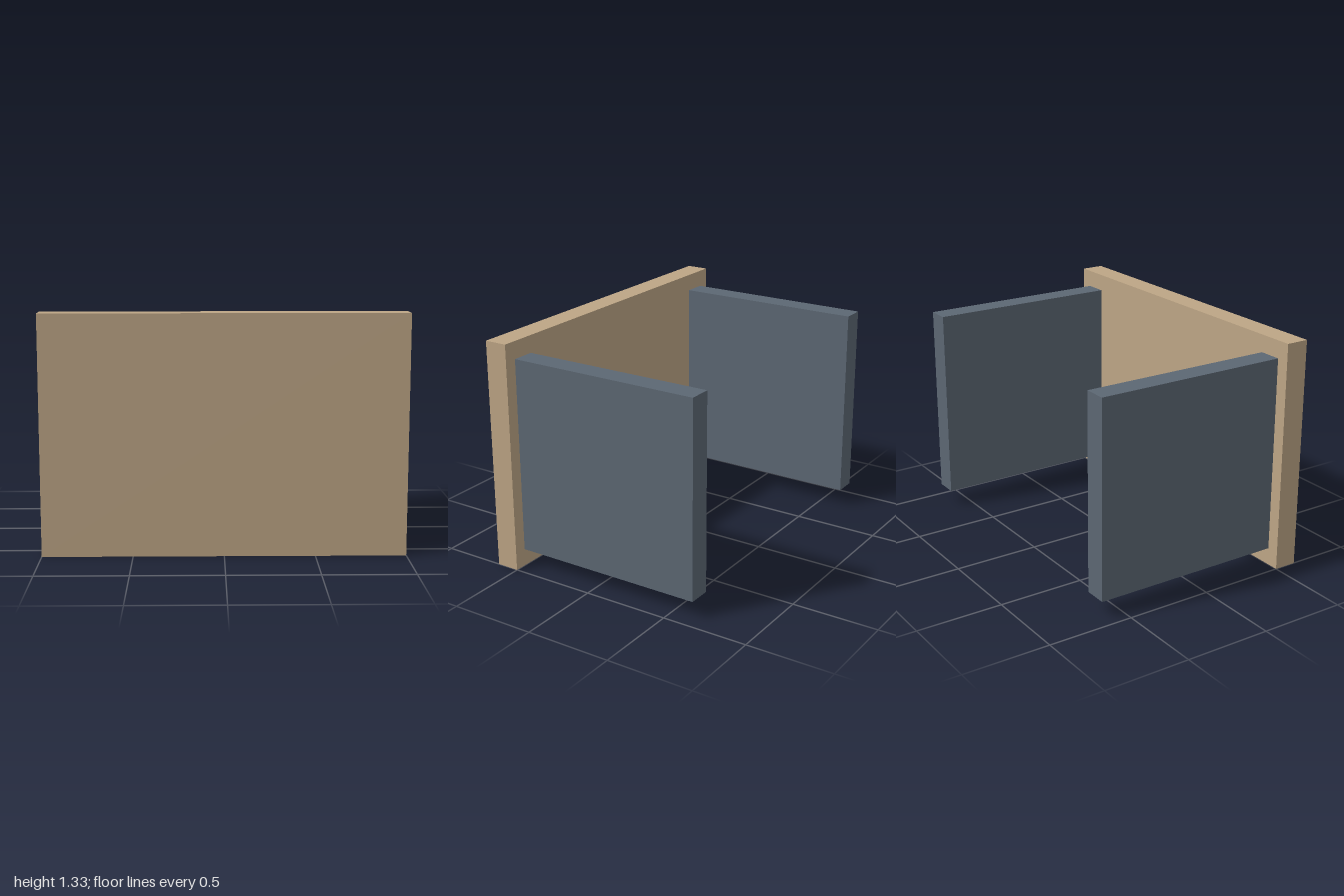
import * as THREE from 'three';

const THICKNESS = 0.133;
const HEIGHT = 1.333;
const DEPTH = 1.267;

function board(name, size, position, color) {
  const mesh = new THREE.Mesh(
    new THREE.BoxGeometry(...size),
    new THREE.MeshStandardMaterial({ color })
  );
  mesh.name = name;
  mesh.position.set(...position);
  return mesh;
}

export function createModel() {
  const model = new THREE.Group();
  model.name = 'table';

  // Wooden top, standing upright on its long edge
  model.add(board('tableTop', [2, HEIGHT, THICKNESS],
    [0, HEIGHT / 2, (DEPTH - THICKNESS) / 2], 0xbda585));

  // Two panel legs reaching back from the top
  const legLength = DEPTH - THICKNESS;
  for (const side of [1, -1]) {
    model.add(board(side > 0 ? 'leftLeg' : 'rightLeg', [THICKNESS, HEIGHT - 0.2, legLength],
      [side * 0.86, HEIGHT / 2, -THICKNESS / 2], 0x5c6773));
  }

  return model;
}
